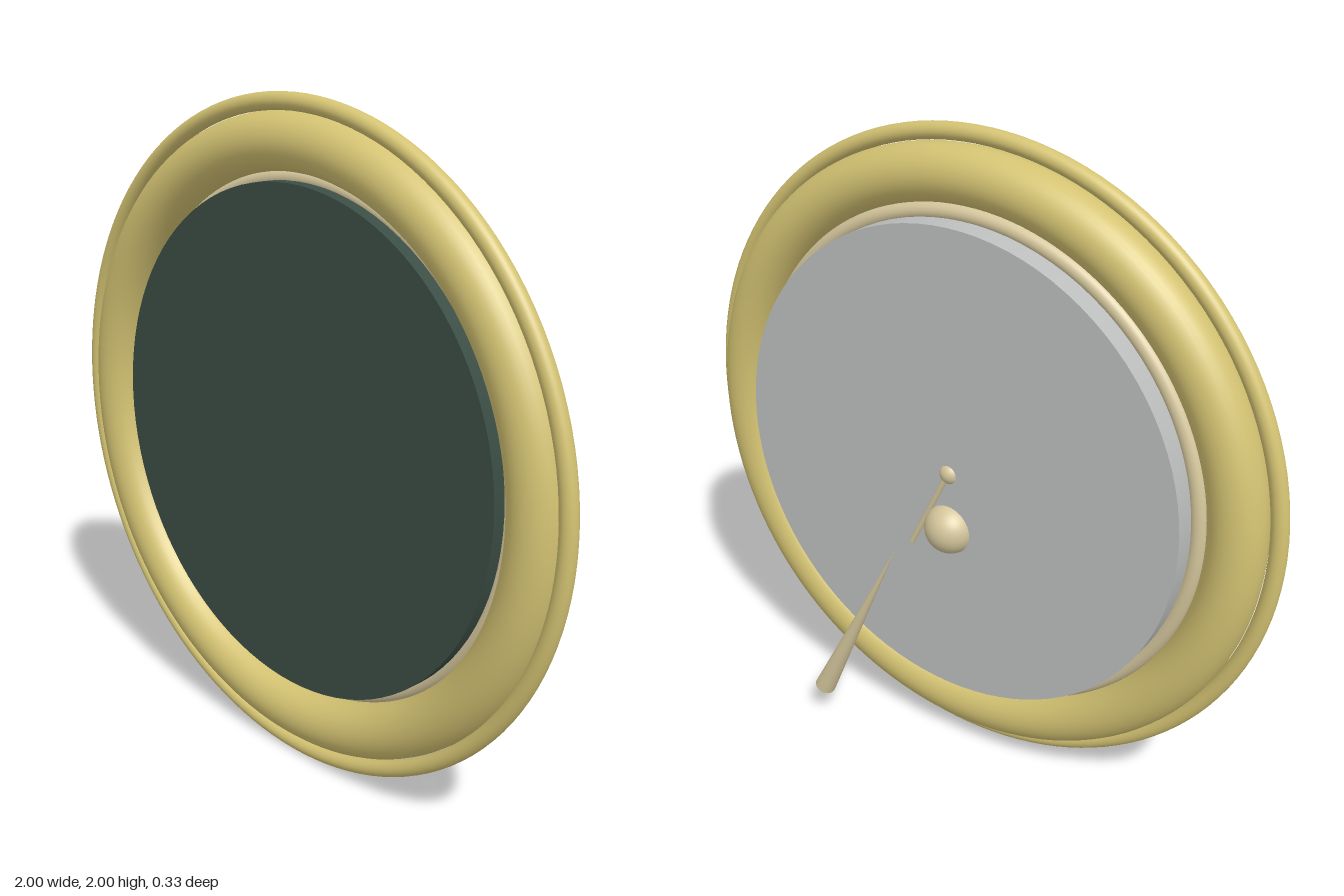
import * as THREE from 'three';

export function createModel() {
  const model = new THREE.Group();
  model.name = 'roundFramedPanel';

  const material = (name, color) => {
    const m = new THREE.MeshStandardMaterial({ color });
    m.name = name;
    return m;
  };
  const gold = material('gold', 0xd3c272);
  const tan = material('paleBrass', 0xd4c69c);
  const green = material('darkGreen', 0x3a4d44);
  const grey = material('grey', 0xbdbfbf);

  const add = (name, geometry, mat, x, y, z) => {
    const mesh = new THREE.Mesh(geometry, mat);
    mesh.name = name;
    mesh.position.set(x, y, z);
    model.add(mesh);
    return mesh;
  };
  const ring = (name, radius, tube, z, mat) =>
    add(name, new THREE.TorusGeometry(radius, tube, 32, 128), mat, 0, 1, z);

  // Round disc between two depths, facing front and back
  const disc = (name, radius, z0, z1, mat) =>
    add(name, new THREE.CylinderGeometry(radius, radius, z1 - z0, 96).rotateX(Math.PI / 2),
      mat, 0, 1, (z0 + z1) / 2);

  // Tapered rod from point a to point b
  const rod = (name, a, b, ra, rb, mat) => {
    const dir = b.clone().sub(a);
    const mid = a.clone().add(b).multiplyScalar(0.5);
    const mesh = add(name, new THREE.CylinderGeometry(rb, ra, dir.length(), 32), mat, mid.x, mid.y, mid.z);
    mesh.quaternion.setFromUnitVectors(new THREE.Vector3(0, 1, 0), dir.normalize());
  };

  // Frame rings
  ring('mainFrame', 0.868, 0.083, 0.083, gold);
  ring('outerRim', 0.975, 0.025, 0.105, gold);
  ring('innerBead', 0.765, 0.025, 0.06, tan);

  // Front panel and backing plate
  disc('frontPanel', 0.76, 0.06, 0.125, green);
  disc('backPlate', 0.752, -0.03, 0.06, grey);

  // Fittings on the back
  add('pivotKnob', new THREE.SphereGeometry(0.035, 32, 20), tan, 0, 1, -0.011);
  add('backKnob', new THREE.SphereGeometry(0.08, 40, 24), tan, 0, 0.815, -0.014);
  const v = (x, y, z) => new THREE.Vector3(x, y, z);
  rod('hangerRod', v(0, 1, -0.03), v(0.133, 0.727, -0.03), 0.009, 0.009, tan);
  rod('spike', v(0.43, 0.108, -0.132), v(0.126, 0.74, -0.132), 0.034, 0.001, tan);

  return model;
}
